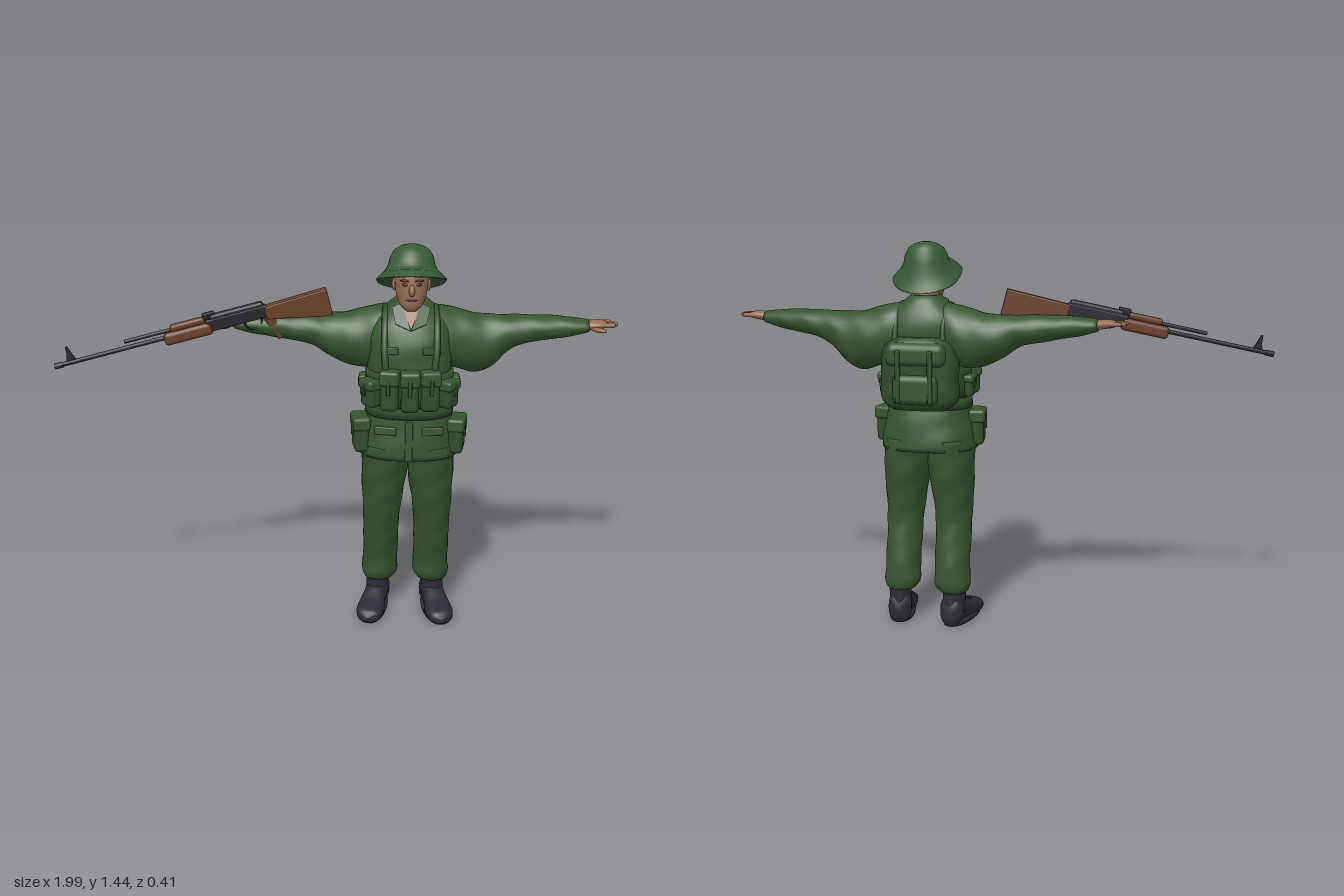
import * as THREE from 'three';
import { RoundedBoxGeometry } from 'three/addons/geometries/RoundedBoxGeometry.js';

const mat = (name, color) => Object.assign(new THREE.MeshStandardMaterial({ color }), { name });

// Closed surface through rings of points, capped at both ends
function skin(rings) {
  const n = rings[0].length, mid = r => r.reduce((s, p) => s.map((v, i) => v + p[i] / n), [0, 0, 0]);
  const pos = rings.flat(2), index = [], last = (rings.length - 1) * n, a = rings.length * n;
  pos.push(...mid(rings[0]), ...mid(rings[rings.length - 1]));
  for (let j = 0; j < n; j++) {
    const k = (j + 1) % n;
    index.push(a, j, k, a + 1, last + k, last + j);
    for (let i = 0; i < rings.length - 1; i++) {
      const p = i * n + j, q = i * n + k;
      index.push(p, p + n, q, q, p + n, q + n);
    }
  }
  const g = new THREE.BufferGeometry();
  g.setAttribute('position', new THREE.Float32BufferAttribute(pos, 3));
  g.setIndex(index);
  g.computeVertexNormals();
  return g;
}

// Loft along an axis; each section is [t, centre1, centre2, radius1, radius2]
function loft(axis, sections, { steps = 22, n = 28, power = 2, folds = 0 } = {}) {
  const s = [...sections].sort((p, q) => p[0] - q[0]);
  const ts = s.map(p => p[0]), spline = new THREE.CubicInterpolant(ts, s.flatMap(p => p.slice(1)), 4);
  const [o1, o2] = [0, 1, 2].filter(i => i !== axis), cosAxis = (axis + 2) % 3;
  const round = v => Math.sign(v) * Math.abs(v) ** (2 / power);
  const rings = [];
  for (let i = 0; i <= steps; i++) {
    const t = THREE.MathUtils.lerp(ts[0], ts[ts.length - 1], i / steps);
    const [c1, c2, r1, r2] = Array.from(spline.evaluate(t));
    rings.push(Array.from({ length: n }, (_, j) => {
      const th = j / n * Math.PI * 2, c = round(Math.cos(th)), d = round(Math.sin(th));
      const f = 1 + folds * (Math.sin(3 * th + t * 55) + 0.6 * Math.sin(5 * th - t * 38));
      const p = [t, t, t];
      p[o1] = c1 + Math.max(r1, 0.001) * f * (cosAxis === o1 ? c : d);
      p[o2] = c2 + Math.max(r2, 0.001) * f * (cosAxis === o2 ? c : d);
      return p;
    }));
  }
  return skin(rings);
}

export function createModel() {
  const root = new THREE.Group(), soldier = new THREE.Group(), rifle = new THREE.Group();
  root.name = 'soldierWithRifle'; soldier.name = 'soldier'; rifle.name = 'rifle';
  const cloth = mat('greenCloth', 0x36552f), web = mat('greenWebbing', 0x314d2b);
  const hatCloth = mat('hatGreen', 0x375a36), flesh = mat('skin', 0x946b52);
  const brown = mat('browBrown', 0x4c3326), leather = mat('bootLeather', 0x2c2b33);
  const wood = mat('wood', 0x6b402a), metal = mat('gunMetal', 0x25272c);

  const add = (parent, name, geo, m, p = [0, 0, 0], r = [0, 0, 0]) => {
    const mesh = new THREE.Mesh(geo, m);
    mesh.name = name; mesh.position.set(...p); mesh.rotation.set(...r);
    parent.add(mesh);
    return mesh;
  };
  const rbox = (w, h, d, r = 0.012) => new RoundedBoxGeometry(w, h, d, 3, Math.min(r, w / 2.1, h / 2.1, d / 2.1));
  const ball = (x, y, z) => new THREE.SphereGeometry(1, 16, 12).scale(x, y, z);

  // Jacket and belt
  add(soldier, 'jacket', loft(1, [[0.68, 0, 0, 0.182, 0.137], [0.73, 0, 0, 0.174, 0.134], [0.8, 0, 0.003, 0.162, 0.125],
    [0.86, 0, 0.005, 0.152, 0.115], [0.95, 0, 0.002, 0.152, 0.12], [1.05, 0, -0.005, 0.152, 0.122],
    [1.12, 0, -0.015, 0.155, 0.12], [1.18, 0, -0.025, 0.135, 0.1], [1.22, 0, -0.032, 0.09, 0.072],
    [1.25, 0, -0.03, 0.055, 0.054]], { steps: 36, n: 40, power: 2.3, folds: 0.009 }), cloth);
  add(soldier, 'belt', loft(1, [[0.835, 0, 0.004, 0.162, 0.125], [0.875, 0, 0.004, 0.161, 0.125]], { steps: 2, n: 40, power: 2.3 }), web);
  add(soldier, 'chestRig', loft(1, [[0.88, 0, 0.003, 0.158, 0.125], [1.0, 0, 0, 0.16, 0.129]], { steps: 3, n: 40, power: 2.3 }), web);
  add(soldier, 'frontPlacket', rbox(0.028, 0.15, 0.008, 0.003), cloth, [0, 0.755, 0.134], [-0.07, 0, 0]);

  // Open collar
  const collar = new THREE.Group();
  collar.name = 'collar'; collar.position.set(0, 1.165, 0.09); collar.rotation.x = -0.66;
  soldier.add(collar);
  const tri = pts => new THREE.ExtrudeGeometry(new THREE.Shape(pts.map(p => new THREE.Vector2(...p))), { depth: 0.006, bevelEnabled: false });
  add(collar, 'throat', tri([[0, -0.01], [0.036, 0.09], [-0.036, 0.09]]), flesh);
  for (const s of [-1, 1]) {
    const pts = [[0, -0.015], [s * 0.055, 0.015], [s * 0.068, 0.08], [s * 0.034, 0.095]];
    add(collar, 'lapel', tri(s > 0 ? pts : pts.reverse()), cloth, [0, 0, 0.004], [0, s * 0.15, 0]);
  }

  // Head
  add(soldier, 'neck', loft(1, [[1.17, 0, -0.03, 0.046, 0.05], [1.29, 0, -0.022, 0.045, 0.052]], { steps: 3 }), flesh);
  add(soldier, 'head', loft(1, [[1.22, 0, 0.052, 0.02, 0.02], [1.235, 0, 0.036, 0.038, 0.045], [1.265, 0, 0.015, 0.052, 0.068],
    [1.31, 0, 0.002, 0.06, 0.08], [1.36, 0, -0.007, 0.061, 0.08], [1.4, 0, -0.015, 0.05, 0.065]], { power: 2.2 }), flesh);
  add(soldier, 'nose', ball(0.011, 0.021, 0.017), flesh, [0, 1.296, 0.083], [-0.25, 0, 0]);
  add(soldier, 'mouth', ball(0.02, 0.0035, 0.004), brown, [0, 1.262, 0.081]);
  for (const s of [-1, 1]) {
    add(soldier, 'eye', ball(0.011, 0.005, 0.004), brown, [s * 0.025, 1.316, 0.076], [0, s * 0.3, 0]);
    add(soldier, 'eyebrow', ball(0.016, 0.004, 0.004), brown, [s * 0.026, 1.33, 0.075], [0, s * 0.3, 0]);
    add(soldier, 'ear', ball(0.009, 0.023, 0.015), flesh, [s * 0.061, 1.3, -0.012]);
  }

  // Hat: rings of [x radius, back radius, front radius, height, front lift]
  const hat = [[0.07, 0.07, 0.07, 1.342, 0.018], [0.123, 0.1, 0.182, 1.31, 0.052], [0.126, 0.104, 0.186, 1.316, 0.052],
    [0.112, 0.092, 0.15, 1.33, 0.052], [0.092, 0.083, 0.098, 1.352, 0.026], [0.083, 0.079, 0.083, 1.372, 0.012],
    [0.078, 0.076, 0.077, 1.395, 0.004], [0.065, 0.064, 0.064, 1.419, 0], [0.043, 0.043, 0.043, 1.434, 0], [0.017, 0.017, 0.017, 1.441, 0]];
  add(soldier, 'bushHat', skin(hat.map(([rx, back, front, y, lift]) => Array.from({ length: 40 }, (_, j) => {
    const th = j / 40 * Math.PI * 2, s = Math.sin(th);
    return [rx * Math.cos(th), y + lift * s, -0.018 + (s > 0 ? front : back) * s];
  }))), hatCloth);

  // Pouch with a flap, its outer face on +z
  const pouch = (name, w, h, d, p, turn = 0) => {
    const g = new THREE.Group();
    g.name = name; g.position.set(...p); g.rotation.y = turn;
    add(g, 'pouchBody', rbox(w, h, d, 0.016), web);
    add(g, 'pouchFlap', rbox(w + 0.008, h * 0.38, d + 0.01, 0.012), cloth, [0, h * 0.34, 0.001]);
    add(g, 'pouchStrap', rbox(0.014, h * 0.4, 0.008, 0.003), web, [0, h * 0.14, d / 2 + 0.004]);
    soldier.add(g);
  };
  for (const x of [-0.072, 0, 0.072]) pouch('magazinePouch', 0.064, 0.145, 0.05, [x, 0.945, 0.142 - Math.abs(x) * 0.2], x * 2.5);

  for (const s of [-1, 1]) {
    pouch('sidePouch', 0.07, 0.1, 0.05, [s * 0.14, 0.925, 0.088], s * 0.95);
    pouch('hipPouch', 0.1, 0.13, 0.055, [s * 0.176, 0.755, 0.035], s * 1.4);
    pouch('rearPouch', 0.06, 0.08, 0.03, [s * 0.165, 0.92, -0.03], s * 1.6);
    add(soldier, 'skirtPocket', rbox(0.08, 0.03, 0.012, 0.005), cloth, [s * 0.085, 0.79, 0.117], [-0.1, s * 0.25, 0]);
    add(soldier, 'chestPocketFlap', rbox(0.065, 0.026, 0.01, 0.004), cloth, [s * 0.075, 1.085, 0.104], [-0.15, s * 0.3, 0]);
    const strap = new THREE.CatmullRomCurve3([[0.085, 0.99, 0.118], [0.092, 1.09, 0.1], [0.092, 1.17, 0.058], [0.09, 1.216, -0.025],
      [0.09, 1.17, -0.1], [0.09, 1.06, -0.13]].map(([x, y, z]) => new THREE.Vector3(s * x, y, z)));
    add(soldier, 'shoulderStrap', new THREE.TubeGeometry(strap, 24, 0.012, 8), web);

    // Loose sleeve as [x, top, bottom, z, z radius]
    const d = s > 0 ? 0 : 0.035;
    const sleeve = [[0.05, 1.225, 1.03, -0.035, 0.075], [0.11, 1.222, 1.0, -0.04, 0.09], [0.17, 1.205, 0.985, -0.045, 0.092],
      [0.25, 1.188, 0.972 + d, -0.047, 0.084], [0.3, 1.186, 0.995 + d, -0.045, 0.077], [0.35, 1.186, 1.05 + d / 2, -0.04, 0.068],
      [0.42, 1.187, 1.085, -0.035, 0.06], [0.5, 1.187, 1.1, -0.03, 0.053], [0.58, 1.182, 1.115, -0.023, 0.045], [0.635, 1.175, 1.13, -0.02, 0.037]];
    add(soldier, 'sleeve', loft(0, sleeve.map(([x, t, b, z, r]) => [s * x, (t + b) / 2, z, (t - b) / 2, r]), { steps: 40, folds: 0.016 }), cloth);

    // Hand
    add(soldier, 'palm', loft(0, [[0.6, 1.153, -0.02, 0.019, 0.025], [0.645, 1.156, -0.018, 0.018, 0.03], [0.685, 1.16, -0.02, 0.014, 0.037],
      [0.7, 1.16, -0.022, 0.009, 0.034]].map(p => [s * p[0], ...p.slice(1)]), { steps: 10, n: 16 }), flesh);
    [0.73, 0.741, 0.737, 0.722].forEach((tip, i) => add(soldier, 'finger', new THREE.CapsuleGeometry(0.0085, tip - 0.69, 4, 8),
      flesh, [s * (tip / 2 + 0.3365), 1.16, 0.006 - i * 0.018], [0, 0, Math.PI / 2]));
    add(soldier, 'thumb', ball(0.032, 0.009, 0.011), flesh, [s * 0.668, 1.147, 0.022], [0, -s * 0.7, 0]);

    // Trouser leg
    add(soldier, 'trouserLeg', loft(1, [[0.13, 0.103, -0.055, 0.056, 0.055], [0.15, 0.1, -0.054, 0.068, 0.066], [0.2, 0.098, -0.052, 0.067, 0.068],
      [0.3, 0.097, -0.034, 0.067, 0.073], [0.4, 0.096, -0.014, 0.069, 0.077], [0.5, 0.092, -0.007, 0.077, 0.094],
      [0.6, 0.086, -0.007, 0.086, 0.112], [0.72, 0.082, 0, 0.088, 0.125]].map(([y, x, ...r]) => [y, s * x, ...r]),
    { steps: 36, folds: 0.013 }), cloth);

    // Boot, turned slightly outward
    const boot = new THREE.Group();
    boot.name = 'boot'; boot.position.set(s * 0.108, 0, -0.06); boot.rotation.y = s * 0.2;
    soldier.add(boot);
    add(boot, 'bootFoot', loft(2, [[-0.056, 0, 0.04, 0.02, 0.03], [-0.045, 0, 0.052, 0.038, 0.05], [0.0, 0, 0.055, 0.042, 0.053],
      [0.05, 0, 0.046, 0.044, 0.044], [0.1, 0, 0.034, 0.052, 0.032], [0.15, 0, 0.028, 0.049, 0.026], [0.176, 0, 0.023, 0.033, 0.02],
      [0.184, 0, 0.02, 0.015, 0.012]], { power: 2.6 }), leather);
    add(boot, 'bootSole', loft(1, [[0, 0, 0.063, 0.048, 0.115], [0.016, 0, 0.063, 0.051, 0.118]], { steps: 2, power: 2.3 }), leather);
    add(boot, 'bootShaft', loft(1, [[0.05, 0, 0, 0.043, 0.055], [0.1, 0, -0.002, 0.042, 0.05], [0.17, 0, 0, 0.045, 0.048]], { steps: 8 }), leather);
  }

  // Backpack with flap, pocket and straps
  add(soldier, 'backpack', loft(1, [[0.84, 0, -0.115, 0.1, 0.045], [0.86, 0, -0.115, 0.13, 0.062], [0.96, 0, -0.115, 0.143, 0.068],
    [1.04, 0, -0.115, 0.138, 0.068], [1.085, 0, -0.117, 0.115, 0.058], [1.105, 0, -0.115, 0.075, 0.04]], { power: 3, n: 40, folds: 0.006 }), web);
  add(soldier, 'backpackFlap', rbox(0.225, 0.09, 0.1, 0.03), cloth, [0, 1.045, -0.143]);
  add(soldier, 'backpackPocket', rbox(0.17, 0.11, 0.06, 0.025), cloth, [0, 0.92, -0.17]);
  for (const s of [-1, 1]) add(soldier, 'backpackStrap', rbox(0.018, 0.19, 0.012, 0.004), web, [s * 0.06, 0.97, -0.196]);

  // Rifle, built along +x from muzzle to butt and then aimed
  const tube = (name, u0, u1, v, r, m) => add(rifle, name, new THREE.CylinderGeometry(r, r, u1 - u0, 14), m, [(u0 + u1) / 2, v, 0], [0, 0, Math.PI / 2]);
  tube('barrel', 0, 0.6, 0, 0.008, metal);
  tube('muzzleBrake', 0, 0.03, 0, 0.0105, metal);
  tube('gasTube', 0.255, 0.44, 0.023, 0.007, metal);
  const sight = [[0.042, 0], [0.082, 0], [0.068, 0.035], [0.062, 0.058], [0.054, 0.058], [0.052, 0.03]];
  add(rifle, 'frontSight', tri(sight), metal, [0, 0, -0.003]);
  add(rifle, 'lowerHandguard', rbox(0.175, 0.045, 0.042, 0.014), wood, [0.48, -0.006, 0]);
  add(rifle, 'upperHandguard', rbox(0.125, 0.024, 0.032, 0.01), wood, [0.485, 0.028, 0]);
  add(rifle, 'rearSight', rbox(0.045, 0.025, 0.022, 0.004), metal, [0.565, 0.038, 0]);
  add(rifle, 'receiver', rbox(0.225, 0.045, 0.034, 0.006), metal, [0.66, 0.004, 0]);
  add(rifle, 'receiverCover', rbox(0.2, 0.026, 0.032, 0.011), metal, [0.665, 0.028, 0]);
  add(rifle, 'triggerGuard', new THREE.TorusGeometry(0.032, 0.003, 6, 16, Math.PI), metal, [0.715, -0.02, 0], [0, 0, Math.PI]);
  add(rifle, 'pistolGrip', rbox(0.034, 0.105, 0.03, 0.01), wood, [0.785, -0.058, 0], [0, 0, 0.38]);
  const stock = new THREE.Shape([[0.768, 0.016], [0.8, 0.018], [0.992, 0.024], [0.996, -0.074], [0.83, -0.034], [0.768, -0.022]].map(p => new THREE.Vector2(...p)));
  add(rifle, 'stock', new THREE.ExtrudeGeometry(stock, { depth: 0.028, bevelThickness: 0.006, bevelSize: 0.005, bevelSegments: 2 }), wood, [0, 0, -0.014]);
  const along = new THREE.Vector3(0.955, 0.212, -0.235).normalize();
  const side = along.clone().cross(new THREE.Vector3(0, 1, 0)).normalize();
  rifle.setRotationFromMatrix(new THREE.Matrix4().makeBasis(along, side.clone().cross(along), side));
  rifle.position.set(-0.997, 1.04, 0.193);

  soldier.position.x = 0.25;
  root.add(soldier, rifle);
  return root;
}
